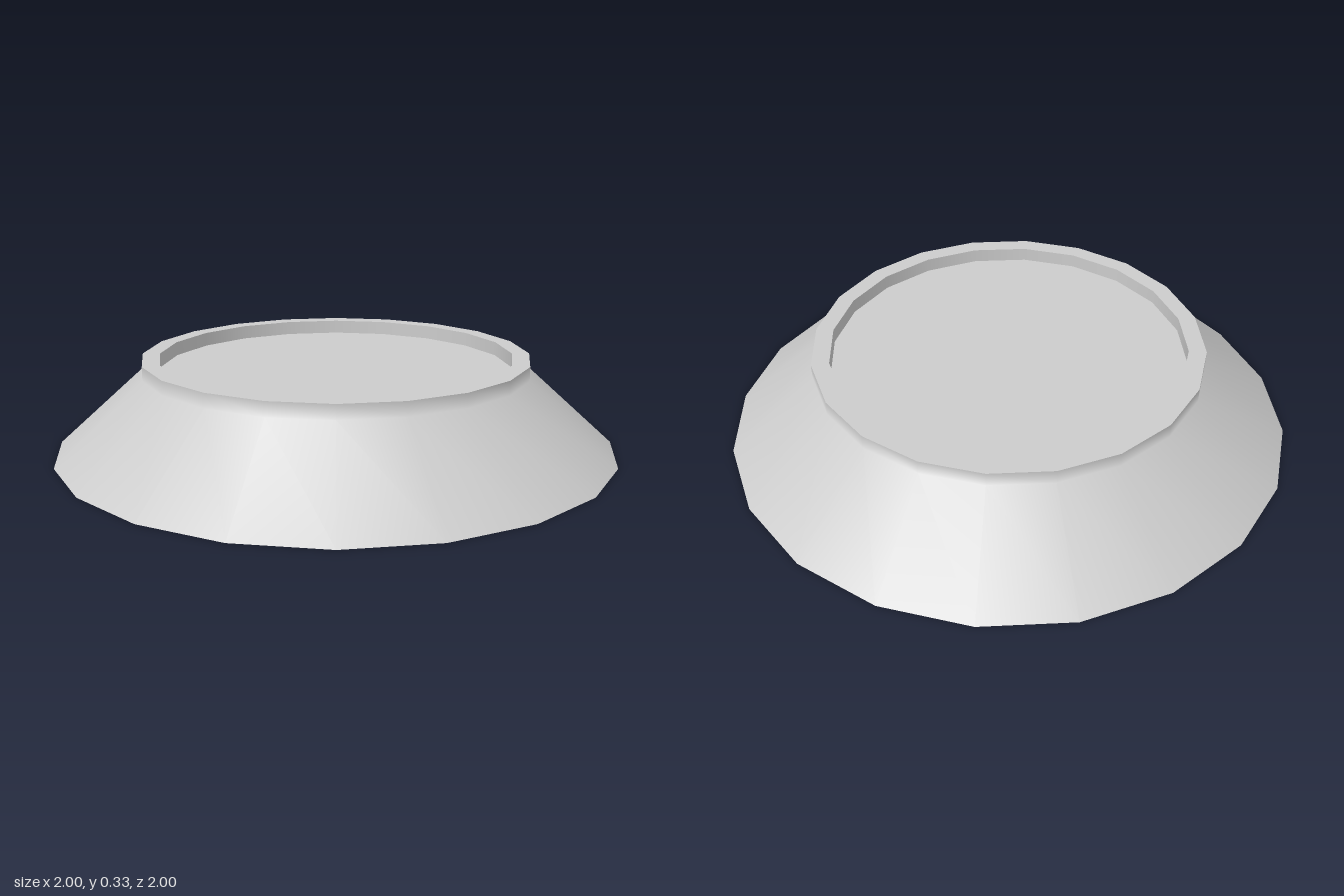
import * as THREE from 'three';

const SIDES = 20;

export function createModel() {
  const group = new THREE.Group();
  group.name = 'recessedBase';
  const material = new THREE.MeshStandardMaterial({ color: 0xcccccc });

  // Each surface is its own lathe so the edges between them stay sharp
  const addSurface = (name, profile) => {
    const points = profile.map(([r, y]) => new THREE.Vector2(r, y));
    const mesh = new THREE.Mesh(new THREE.LatheGeometry(points, SIDES), material);
    mesh.name = name;
    group.add(mesh);
  };

  addSurface('underside', [[0, 0], [1, 0]]);
  // Sloping skirt shaded smoothly into the short upright collar
  addSurface('skirtAndCollar', [[1, 0], [0.69, 0.28], [0.69, 0.33]]);
  addSurface('rimTop', [[0.69, 0.33], [0.628, 0.33]]);
  addSurface('recessWall', [[0.628, 0.33], [0.628, 0.28]]);
  addSurface('recessFloor', [[0.628, 0.28], [0, 0.28]]);

  return group;
}
